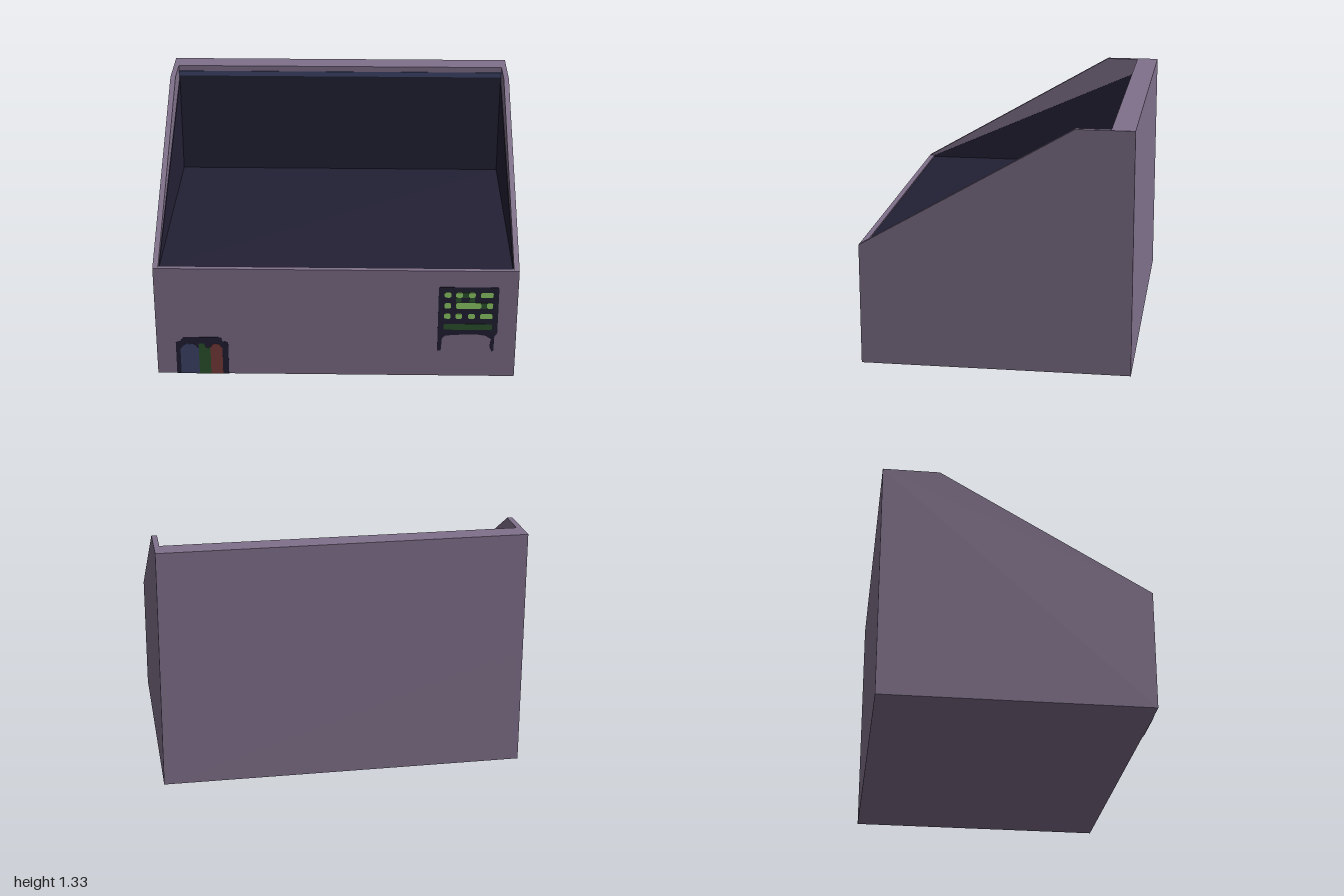
import * as THREE from 'three';

const mat = (name, color) => new THREE.MeshStandardMaterial({ name, color });

export function createModel() {
  const mauve = mat('mauve', 0x7f708a);
  const dark = mat('dark navy', 0x222034);
  const blue = mat('slate blue', 0x3f466b);
  const lime = mat('light green', 0x91d068);
  const green = mat('dark green', 0x2d5430);
  const red = mat('brick red', 0x783c3c);

  const model = new THREE.Group();
  model.name = 'displayBin';

  // Box given by its limits on each axis
  const box = (name, m, [x0, x1], [y0, y1], [z0, z1], parent = model) => {
    const mesh = new THREE.Mesh(new THREE.BoxGeometry(x1 - x0, y1 - y0, z1 - z0), m);
    mesh.position.set((x0 + x1) / 2, (y0 + y1) / 2, (z0 + z1) / 2);
    mesh.name = name;
    parent.add(mesh);
    return mesh;
  };
  const outline = (pts) => new THREE.Shape(pts.map(([x, y]) => new THREE.Vector2(x, y)));

  // Upright plate in the z-y plane, extruded along x
  const sidePlate = (name, m, pts, x, thickness) => {
    const g = new THREE.ExtrudeGeometry(outline(pts.map(([z, y]) => [-z, y])),
      { depth: thickness, bevelEnabled: false });
    g.rotateY(Math.PI / 2); // shape x becomes -z, depth becomes x
    const mesh = new THREE.Mesh(g, m);
    mesh.position.x = x;
    mesh.name = name;
    model.add(mesh);
  };

  // Body: solid base, front lip and tall back wall
  const W = 0.97, FRONT = 0.73, FLOOR = 0.655, LIP = 0.667, TOP = 1.333, BACK = -0.605;
  box('base', mauve, [-W, W], [0, FLOOR], [-FRONT, FRONT]);
  box('frontLip', mauve, [-W, W], [FLOOR, LIP], [0.7, FRONT]);
  box('backWall', mauve, [-W, W], [FLOOR, TOP], [-FRONT, BACK]);

  // Sloped side walls with dark lining
  const wall = [[-FRONT, 0], [FRONT, 0], [FRONT, LIP], [-0.42, TOP], [-FRONT, TOP]];
  const lining = [[BACK, FLOOR], [0.7, FLOOR], [0.7, LIP], [BACK, 1.25]];
  for (const s of [-1, 1]) {
    const side = s > 0 ? 'left' : 'right';
    sidePlate(side + 'Wall', mauve, wall, s > 0 ? W : -1, 1 - W);
    sidePlate(side + 'Lining', dark, lining, s > 0 ? W - 0.003 : -W, 0.003);
  }

  // Inside floor, back lining and the stripe along its top
  box('innerFloor', dark, [-W, W], [FLOOR, FLOOR + 0.005], [BACK, 0.7]);
  box('backLining', dark, [-W, W], [FLOOR, 1.27], [BACK, BACK + 0.003]);
  box('backStripe', blue, [-W, W], [1.27, 1.3], [BACK, BACK + 0.003]);

  // Thin painted plate on the front face
  const paint = (parent, name, m, pts, layer) => {
    const g = new THREE.ExtrudeGeometry(outline(pts), { depth: 0.002 * layer, bevelEnabled: false });
    const mesh = new THREE.Mesh(g, m);
    mesh.position.z = FRONT;
    mesh.name = name;
    parent.add(mesh);
  };
  const rect = (x0, x1, y0, y1) => [[x0, y0], [x1, y0], [x1, y1], [x0, y1]];
  const pill = (x0, x1, y0, y1) => {
    const c = 0.007;
    return [[x0 + c, y0], [x1 - c, y0], [x1, y0 + c], [x1, y1 - c],
      [x1 - c, y1], [x0 + c, y1], [x0, y1 - c], [x0, y0 + c]];
  };

  // Panel with glowing marks and two dripping legs
  const panel = new THREE.Group();
  panel.name = 'frontPanel';
  model.add(panel);
  paint(panel, 'panelBack', dark, [
    [0.565, 0.165], [0.585, 0.165], [0.59, 0.245], [0.61, 0.262], [0.66, 0.265], [0.72, 0.27],
    [0.78, 0.27], [0.83, 0.262], [0.862, 0.24], [0.855, 0.19], [0.868, 0.16], [0.878, 0.165],
    [0.88, 0.26], [0.895, 0.275], [0.895, 0.56], [0.888, 0.567], [0.572, 0.567], [0.565, 0.56],
  ], 1);
  const dots = [[0.597, 0.634], [0.66, 0.697], [0.73, 0.767], [0.795, 0.865]];
  const rows = [
    [0.503, 0.535, dots],
    [0.434, 0.47, [[0.597, 0.634], [0.66, 0.8], [0.832, 0.865]]],
    [0.37, 0.402, dots],
  ];
  for (const [y0, y1, marks] of rows)
    for (const [x0, x1] of marks) paint(panel, 'panelMark', lime, pill(x0, x1, y0, y1), 2);
  paint(panel, 'panelBar', green, pill(0.597, 0.865, 0.3, 0.336), 2);
  for (const [x0, x1, y0, y1] of [[0.697, 0.73, 0.503, 0.535], [0.66, 0.69, 0.475, 0.503],
    [0.735, 0.765, 0.475, 0.503], [0.8, 0.832, 0.434, 0.47]])
    paint(panel, 'panelDimMark', green, rect(x0, x1, y0, y1), 2);

  // Dark niche with three coloured strips
  const niche = new THREE.Group();
  niche.name = 'frontNiche';
  model.add(niche);
  paint(niche, 'nicheBack', dark, [
    [-0.893, 0], [-0.6, 0], [-0.6, 0.205], [-0.63, 0.208], [-0.64, 0.235],
    [-0.85, 0.235], [-0.867, 0.208], [-0.893, 0.2],
  ], 1);
  paint(niche, 'blueStrip', blue, [[-0.868, 0], [-0.765, 0], [-0.765, 0.165], [-0.79, 0.19],
    [-0.835, 0.195], [-0.868, 0.16]], 2);
  paint(niche, 'greenStrip', green, [[-0.765, 0], [-0.7, 0], [-0.7, 0.17], [-0.725, 0.165],
    [-0.735, 0.195], [-0.765, 0.195]], 2);
  paint(niche, 'redStrip', red, [[-0.7, 0], [-0.633, 0], [-0.633, 0.165], [-0.65, 0.19],
    [-0.685, 0.195], [-0.7, 0.17]], 2);

  return model;
}
